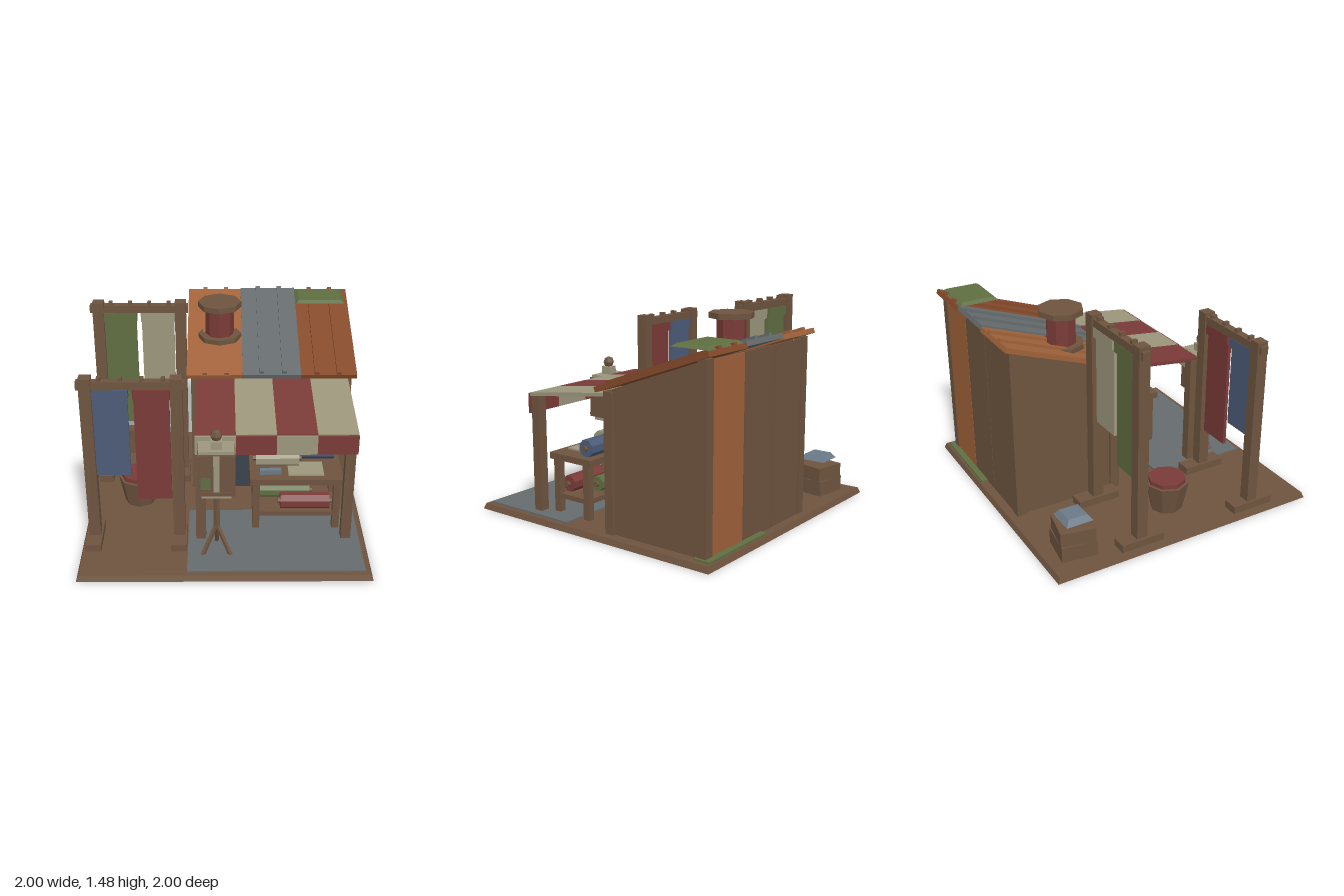
import * as THREE from 'three';

const mat = (name, color) => {
  const m = new THREE.MeshStandardMaterial({ color });
  m.name = name;
  return m;
};
const wood = mat('wood', 0x6e543f), orange = mat('orange', 0xa0623a), rust = mat('rust', 0x854a2b),
  grey = mat('grey', 0x666c6e), red = mat('red', 0x7a3b38), cream = mat('cream', 0x9c967c),
  blue = mat('blue', 0x4c5c78), green = mat('green', 0x5f6e42), dark = mat('dark', 0x3b434b),
  slate = mat('slate', 0x6b7a88);

const flat = (geo) => {
  const g = geo.toNonIndexed();
  g.computeVertexNormals();
  return g;
};

function add(parent, name, geo, material, x = 0, y = 0, z = 0) {
  const m = new THREE.Mesh(geo, material);
  m.name = name;
  m.position.set(x, y, z);
  parent.add(m);
  return m;
}

// Box given by its lower and upper limits on each axis
function box(parent, name, material, x0, x1, y0, y1, z0, z1) {
  return add(parent, name, new THREE.BoxGeometry(x1 - x0, y1 - y0, z1 - z0), material,
    (x0 + x1) / 2, (y0 + y1) / 2, (z0 + z1) / 2);
}

// Box whose top is narrower than its base by 2 * inset
function taper(parent, name, material, w, h, d, inset, x, y, z) {
  const g = new THREE.BoxGeometry(w, h, d), p = g.attributes.position;
  for (let i = 0; i < p.count; i++) {
    if (p.getY(i) > 0) {
      p.setX(i, p.getX(i) - Math.sign(p.getX(i)) * inset);
      p.setZ(i, p.getZ(i) - Math.sign(p.getZ(i)) * inset);
    }
  }
  return add(parent, name, flat(g), material, x, y + h / 2, z);
}

// Faceted upright cylinder standing on y
const drum = (parent, name, material, rTop, rBottom, h, sides, x, y, z) =>
  add(parent, name, flat(new THREE.CylinderGeometry(rTop, rBottom, h, sides)), material, x, y + h / 2, z);

function group(parent, name) {
  const g = new THREE.Group();
  g.name = name;
  parent.add(g);
  return g;
}

function buildShed(root) {
  const shed = group(root, 'shed');
  // Walls with a sloping top
  const side = new THREE.Shape([[0.13, 0.04], [0.915, 0.04], [0.915, 1.285], [0.13, 1.0]]
    .map(([u, v]) => new THREE.Vector2(u, v)));
  const walls = add(shed, 'walls', new THREE.ExtrudeGeometry(side, { depth: 1.13, bevelEnabled: false }), wood, -0.22);
  walls.rotation.y = Math.PI / 2;
  for (const x of [-0.24, 0.86]) {
    box(shed, 'frontCornerPost', wood, x, x + 0.07, 0.04, 1.0, -0.185, -0.115);
    box(shed, 'backCornerPost', wood, x, x + 0.07, 0.04, 1.29, -0.93, -0.86);
  }
  // Back cladding
  [wood, wood, orange].forEach((m, i) => {
    const x = -0.17 + i * 0.3433;
    box(shed, 'backPanel', m, x + 0.003, x + 0.34, 0.04, 1.28, -0.924, -0.915);
  });
  // Front details
  box(shed, 'frontPanel', orange, -0.17, -0.025, 0.04, 0.95, -0.13, -0.124);
  box(shed, 'doorway', dark, -0.02, 0.275, 0.04, 0.84, -0.13, -0.122);
  box(shed, 'window', dark, 0.47, 0.75, 0.46, 0.84, -0.13, -0.122);

  // Roof sheets with raised ribs
  const roof = group(shed, 'roof');
  roof.position.set(0, 1.168, -0.515);
  roof.rotation.x = 0.345;
  [[orange, -0.27, 0.135, [-0.14, 0.02], 0], [grey, 0.135, 0.555, [0.27, 0.435], 0.012],
    [rust, 0.555, 0.96, [0.67, 0.83], 0]].forEach(([m, x0, x1, ribs, lift]) => {
    box(roof, 'roofSheet', m, x0, x1, lift - 0.0175, lift + 0.0175, -0.475, 0.475 + lift);
    for (const x of ribs) box(roof, 'roofRib', m, x - 0.016, x + 0.016, lift + 0.017, lift + 0.037, -0.475, 0.47);
  });
  taper(shed, 'roofHatch', green, 0.37, 0.02, 0.285, 0.028, 0.735, 1.34, -0.795);

  // Chimney drum
  const chimney = group(shed, 'chimney');
  drum(chimney, 'chimneyBase', wood, 0.16, 0.16, 0.035, 8, -0.03, 1.155, -0.45);
  drum(chimney, 'chimneyDrum', red, 0.105, 0.105, 0.22, 8, -0.03, 1.19, -0.45);
  drum(chimney, 'chimneyCap', wood, 0.16, 0.16, 0.04, 8, -0.03, 1.4, -0.45);
}

function buildAwning(root) {
  const awning = group(root, 'awning');
  const cloth = group(awning, 'canopy');
  cloth.position.set(0, 0.927, 0.235);
  cloth.rotation.x = 0.123;
  for (let i = 0; i < 4; i++) {
    const x = -0.2 + i * 0.275;
    box(cloth, 'canopyStripe', i % 2 ? cream : red, x, x + 0.275, -0.0125, 0.0125, -0.35, 0.35);
    box(awning, 'valance', i % 2 ? red : cream, x, x + 0.275, 0.75, 0.89, 0.58, 0.6);
  }
  for (const x of [-0.2, 0.82]) box(awning, 'awningPost', wood, x, x + 0.07, 0.04, 0.89, 0.515, 0.58);
}

// Drying rack: two posts, beam with pegs, two hanging cloths
function buildRack(root, z, top, cloths) {
  const rack = group(root, 'dryingRack');
  rack.position.z = z;
  for (const x of [-0.91, -0.315]) {
    box(rack, 'rackPost', wood, x - 0.04, x + 0.04, 0.04, top, -0.04, 0.04);
    box(rack, 'rackFoot', wood, x - 0.058, x + 0.052, 0.04, 0.095, -0.16, 0.16);
  }
  box(rack, 'rackBeam', wood, -0.97, -0.26, top - 0.08, top - 0.025, -0.028, 0.028);
  for (const x of [-0.82, -0.68, -0.54, -0.4])
    box(rack, 'peg', wood, x - 0.013, x + 0.013, top - 0.025, top, -0.02, 0.02);
  cloths.forEach(([m, bottom], i) => {
    const x = i ? -0.48 : -0.755;
    box(rack, 'hangingCloth', m, x - 0.118, x + 0.118, bottom, top - 0.08, -0.012, 0.012);
    box(rack, 'clothFold', m, x - 0.123, x + 0.123, top - 0.15, top - 0.08, -0.03, 0.03);
  });
}

// Cloth roll lying along x on a thin wooden core
function roll(parent, m, x0, x1, y, z, r) {
  const g = group(parent, 'clothRoll');
  g.position.set((x0 + x1) / 2, y, z);
  g.rotation.z = Math.PI / 2;
  const len = x1 - x0;
  drum(g, 'rolledCloth', m, r, r, len, 8, 0, -len / 2, 0).rotation.y = Math.PI / 8;
  drum(g, 'rollCore', wood, 0.02, 0.02, len + 0.04, 6, 0, -len / 2 - 0.02, 0);
}

function buildTable(root) {
  const table = group(root, 'table');
  box(table, 'tableTop', wood, 0.18, 0.83, 0.43, 0.475, 0.1, 0.48);
  box(table, 'tableShelf', wood, 0.21, 0.81, 0.15, 0.185, 0.14, 0.44);
  for (const x of [0.2, 0.77]) for (const z of [0.13, 0.4])
    box(table, 'tableLeg', wood, x, x + 0.05, 0.04, 0.43, z, z + 0.05);
  roll(table, red, 0.4, 0.75, 0.243, 0.38, 0.06);
  roll(table, green, 0.25, 0.62, 0.238, 0.23, 0.055);
  roll(table, cream, 0.225, 0.53, 0.538, 0.28, 0.06);
  roll(table, blue, 0.44, 0.79, 0.54, 0.175, 0.063);
  box(table, 'foldedCloth', cream, 0.45, 0.7, 0.475, 0.487, 0.25, 0.43);
  box(table, 'smallTool', slate, 0.25, 0.4, 0.475, 0.508, 0.37, 0.41);
}

function buildTripod(root) {
  const stand = group(root, 'tripodBox');
  stand.position.set(-0.055, 0, 0.705);
  // Three splayed legs
  for (let i = 0; i < 3; i++) {
    const a = Math.PI + i * Math.PI * 2 / 3;
    const path = new THREE.LineCurve3(new THREE.Vector3(0, 0.27, 0),
      new THREE.Vector3(Math.sin(a) * 0.112, 0.045, Math.cos(a) * 0.112));
    add(stand, 'tripodLeg', flat(new THREE.TubeGeometry(path, 1, 0.017, 5)), wood);
  }
  drum(stand, 'tripodPole', wood, 0.025, 0.025, 0.28, 6, 0, 0.24, 0);
  box(stand, 'bottomPlate', cream, -0.1, 0.1, 0.515, 0.545, -0.065, 0.065);
  box(stand, 'boxRim', wood, -0.127, 0.127, 0.545, 0.575, -0.085, 0.087);
  box(stand, 'boxBody', wood, -0.12, 0.12, 0.575, 0.85, -0.08, 0.08);
  for (const x of [-0.125, 0.11])
    box(stand, 'boxEdge', wood, x, x + 0.015, 0.575, 0.85, -0.085, 0.085);
  box(stand, 'frontStrip', cream, -0.02, 0.02, 0.575, 0.85, 0.08, 0.088);
  box(stand, 'frontLabel', green, -0.105, -0.04, 0.6, 0.685, 0.085, 0.094);
  box(stand, 'topPlate', cream, -0.12, 0.12, 0.85, 0.872, -0.08, 0.065);
  box(stand, 'neck', cream, -0.038, 0.038, 0.872, 0.93, -0.038, 0.038);
  const knob = add(stand, 'knob', flat(new THREE.SphereGeometry(0.042, 6, 4)), wood, 0, 0.963, 0);
  knob.rotation.y = Math.PI / 6;
}

export function createModel() {
  const root = new THREE.Group();
  root.name = 'marketStall';
  taper(root, 'ground', wood, 2, 0.04, 2, 0.015, 0, 0, 0);
  box(root, 'groundMat', grey, -0.255, 0.95, 0.04, 0.052, 0.22, 0.95);
  box(root, 'backMat', green, 0.3, 0.95, 0.04, 0.052, -0.97, -0.85);
  buildShed(root);
  buildAwning(root);
  buildRack(root, 0.555, 1.31, [[blue, 0.575], [red, 0.38]]);
  buildRack(root, -0.35, 1.48, [[green, 0.5], [cream, 0.7]]);
  buildTable(root);
  buildTripod(root);

  // Bucket of dye
  const bucket = group(root, 'bucket');
  drum(bucket, 'bucketBody', wood, 0.157, 0.115, 0.21, 8, -0.63, 0.04, 0.045);
  drum(bucket, 'bucketDye', red, 0.135, 0.135, 0.05, 8, -0.63, 0.23, 0.045);

  // Crate with a tray above it
  const crate = group(root, 'crate');
  box(crate, 'lowerCrate', wood, -0.88, -0.625, 0.04, 0.15, -0.885, -0.635).rotation.y = -0.148;
  box(crate, 'upperCrate', wood, -0.873, -0.632, 0.15, 0.25, -0.88, -0.64).rotation.y = -0.2;
  taper(crate, 'tray', slate, 0.195, 0.04, 0.195, 0.03, -0.755, 0.287, -0.76);
  return root;
}
